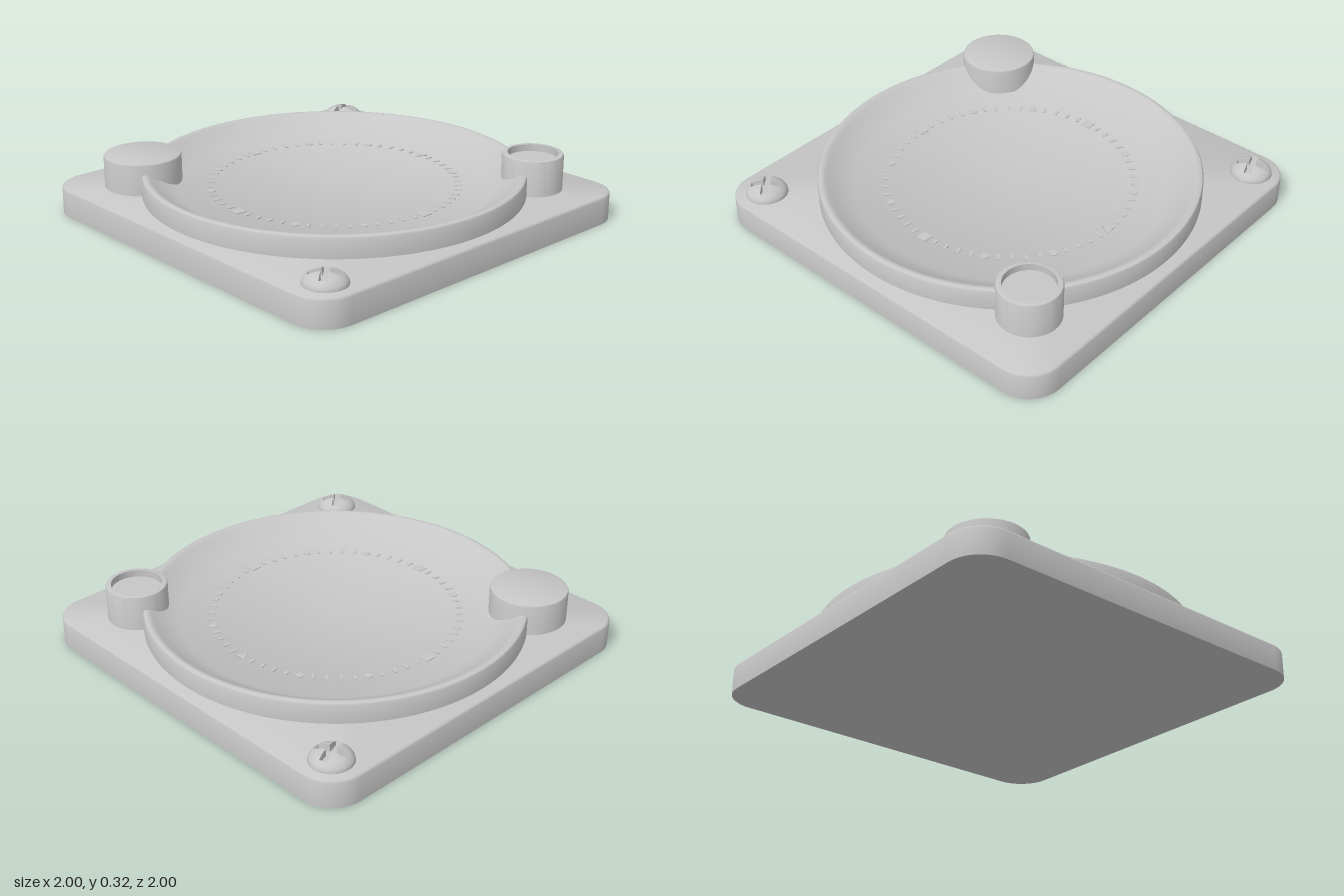
import * as THREE from 'three';
import { toCreasedNormals } from 'three/addons/utils/BufferGeometryUtils.js';

const BASE_TOP = 0.14, FLOOR = 0.16;

// Skin a stack of closed cross-sections (anticlockwise seen from above, bottom to top).
function loft(sections, crease) {
  const n = sections[0].length, pos = [], index = [];
  sections.forEach(s => s.forEach(p => pos.push(p.x, p.y, p.z)));
  for (let i = 0; i < sections.length - 1; i++) {
    for (let j = 0; j < n; j++) {
      const k = (j + 1) % n;
      const a = i * n + j, b = i * n + k, c = a + n, d = b + n;
      if (!sections[i][j].equals(sections[i][k])) index.push(a, b, d);
      if (!sections[i + 1][j].equals(sections[i + 1][k])) index.push(a, d, c);
    }
  }
  const g = new THREE.BufferGeometry();
  g.setAttribute('position', new THREE.Float32BufferAttribute(pos, 3));
  g.setIndex(index);
  return toCreasedNormals(g, crease);
}

function lathe(points, segments, crease = 0.6) {
  const g = new THREE.LatheGeometry(points.map(([x, y]) => new THREE.Vector2(x, y)), segments);
  return toCreasedNormals(g, crease);
}

// Rounded square outline, inset by a distance, at height y
function roundedSquare(inset, y) {
  const pts = [], half = 1 - inset, r = 0.17 - inset, steps = 10;
  for (let q = 0; q < 4; q++) {
    const mid = Math.PI / 4 + q * Math.PI / 2;
    const cx = Math.sign(Math.cos(mid)) * (half - r), cz = -Math.sign(Math.sin(mid)) * (half - r);
    for (let s = 0; s <= steps; s++) {
      const t = (q + s / steps) * Math.PI / 2;
      pts.push(new THREE.Vector3(cx + r * Math.cos(t), y, cz - r * Math.sin(t)));
    }
  }
  return pts;
}

function baseGeometry() {
  const outline = roundedSquare(0, 0);
  return loft([
    outline.map(() => new THREE.Vector3(0, 0, 0)),
    outline,
    roundedSquare(0, BASE_TOP - 0.012),
    roundedSquare(0.004, BASE_TOP - 0.004),
    roundedSquare(0.012, BASE_TOP),
    outline.map(() => new THREE.Vector3(0, BASE_TOP, 0)),
  ], 0.7);
}

// Domed screw head with a cross-shaped recess
function screwGeometry() {
  const R = 0.103, H = 0.06, w = 0.018, L = 0.075, floor = 0.022;
  const tip = Math.atan2(w, L), q = Math.PI / 4;
  const half = [0, tip * 0.5, tip, tip + (q - tip) * 0.2, tip + (q - tip) * 0.5, q];
  const quarter = [...half, ...half.slice(1, -1).reverse().map(a => 2 * q - a)];
  const angles = [0, 1, 2, 3].flatMap(k => quarter.map(a => a + k * 2 * q));
  const crossRadius = a => {
    const m = a % (2 * q), f = m > q ? 2 * q - m : m;
    return f <= tip + 1e-6 ? L / Math.cos(f) : w / Math.sin(f);
  };
  const ring = (radius, height) => angles.map(a => {
    const r = radius(a);
    return new THREE.Vector3(r * Math.cos(a), height(r), -r * Math.sin(a));
  });
  const dome = r => H * Math.sqrt(Math.max(0, 1 - (r / R) ** 2));
  const sections = [ring(() => R, () => -0.01)];
  for (let i = 0; i <= 8; i++) {
    const t = Math.sin(i / 8 * Math.PI / 2 - Math.PI / 2) + 1;
    sections.push(ring(a => R + (crossRadius(a) - R) * t, dome));
  }
  sections.push(ring(a => crossRadius(a) * 0.9, () => floor), ring(() => 0, () => floor));
  return loft(sections, 0.7);
}

export function createModel() {
  const model = new THREE.Group();
  const grey = new THREE.MeshStandardMaterial({ color: 0xc6c6c6 });
  grey.name = 'light grey';

  const add = (name, geometry, x = 0, y = 0, z = 0, turn = 0, parent = model) => {
    const mesh = new THREE.Mesh(geometry, grey);
    mesh.name = name;
    mesh.position.set(x, y, z);
    mesh.rotation.y = turn;
    parent.add(mesh);
    return mesh;
  };

  add('base', baseGeometry());

  // Dish: raised rim sloping down to a flat dial floor
  add('dish', lathe([
    [0.937, BASE_TOP], [0.937, 0.232], [0.932, 0.241], [0.922, 0.246],
    [0.908, 0.245], [0.895, 0.238], [0.88, 0.228], [0.767, FLOOR], [0, FLOOR],
  ], 128));

  // Solid post with a softly rounded top edge
  add('widePost', lathe([
    [0, 0.01], [0.19, 0.01], [0.19, 0.288], [0.187, 0.296], [0.178, 0.3], [0, 0.3],
  ], 64), -0.665, 0, 0.665);

  // Hollow-topped post
  add('cuppedPost', lathe([
    [0, 0.01], [0.15, 0.01], [0.15, 0.31], [0.147, 0.317], [0.14, 0.32],
    [0.123, 0.32], [0.123, 0.285], [0, 0.285],
  ], 64), 0.67, 0, -0.695);

  const screw = screwGeometry();
  add('backScrew', screw, -0.842, BASE_TOP, -0.847, 0.3);
  add('frontScrew', screw, 0.845, BASE_TOP, 0.835, 0.68);

  // Dial marks: 60 thin plates, with dots every fifth and larger signs at the quarters
  const marks = new THREE.Group();
  marks.name = 'dialMarks';
  model.add(marks);
  const T = 0.005;
  const tick = new THREE.BoxGeometry(0.015, T, 0.036);
  const square = new THREE.BoxGeometry(0.053, T, 0.053);
  const dot = new THREE.CylinderGeometry(0.02, 0.02, T, 24);
  const triangle = new THREE.CylinderGeometry(0.036, 0.036, T, 3);
  for (let i = 0; i < 60; i++) {
    const a = i * Math.PI / 30;
    const [name, geometry] = i === 0 ? ['triangleMark', triangle]
      : i % 15 === 0 ? ['squareMark', square]
      : i % 5 === 0 ? ['dotMark', dot] : ['tickMark', tick];
    add(name, geometry, 0.607 * Math.sin(a), FLOOR + T / 2 - 0.001, -0.607 * Math.cos(a), -a, marks);
  }
  return model;
}
